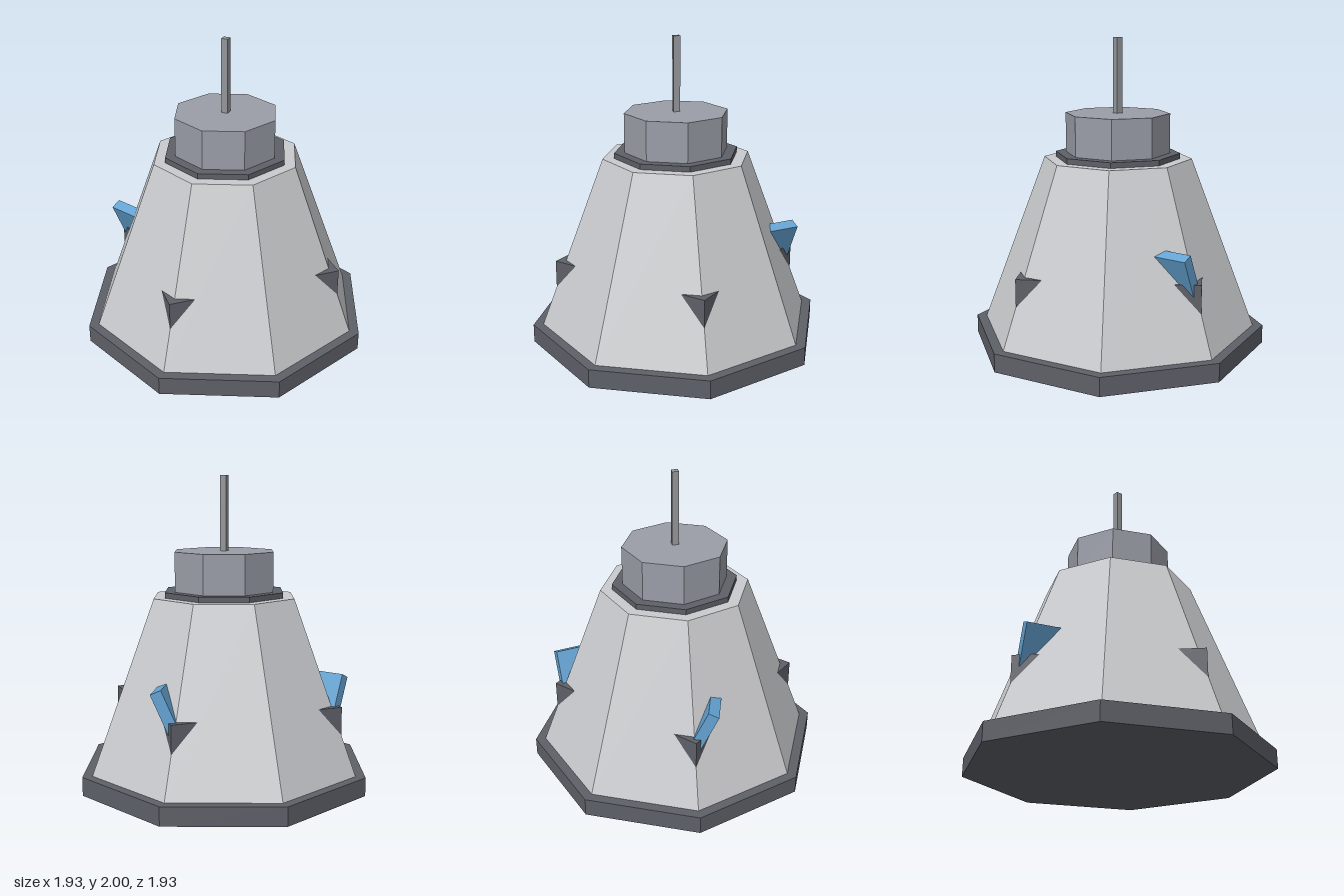
import * as THREE from 'three';

function material(name, color) {
  const m = new THREE.MeshStandardMaterial({ color, flatShading: true });
  m.name = name;
  return m;
}

export function createModel() {
  const model = new THREE.Group();
  const shell = material('light grey shell', 0xcacbce);
  const trim = material('dark grey trim', 0x5e6068);
  const capGrey = material('mid grey cap', 0x9a9da7);
  const metal = material('antenna grey', 0x949699);
  const blue = material('blue fin', 0x65a3d3);

  // Faceted upright section between two heights
  function prism(name, mat, rBottom, rTop, y0, y1, sides = 8) {
    const mesh = new THREE.Mesh(new THREE.CylinderGeometry(rTop, rBottom, y1 - y0, sides), mat);
    mesh.position.y = (y0 + y1) / 2;
    mesh.name = name;
    model.add(mesh);
  }

  // Stacked octagonal sections, from the ground up
  prism('base', trim, 0.965, 0.965, 0, 0.12);
  prism('body', shell, 0.9, 0.48, 0.12, 1.23);
  prism('collar', trim, 0.405, 0.405, 1.22, 1.265);
  prism('cap', capGrey, 0.338, 0.338, 1.26, 1.52);
  prism('antenna', metal, 0.03, 0.03, 1.51, 2, 4);

  // Square frame inside the body; its corners poke out as four brackets
  const frame = new THREE.Mesh(new THREE.BoxGeometry(1.134, 0.26, 1.134), trim);
  frame.position.y = 0.43;
  frame.name = 'cornerBrackets';
  model.add(frame);

  // Mirrored pair of tilted fins standing on the rear brackets
  for (const side of [1, -1]) {
    const fin = new THREE.Mesh(new THREE.BoxGeometry(0.071, 0.272, 0.284), blue);
    fin.position.set(side * 0.514, 0.617, -0.387);
    fin.rotation.set(0, -side * Math.PI / 6, -side * 0.42);
    fin.name = side > 0 ? 'leftFin' : 'rightFin';
    model.add(fin);
  }

  return model;
}
